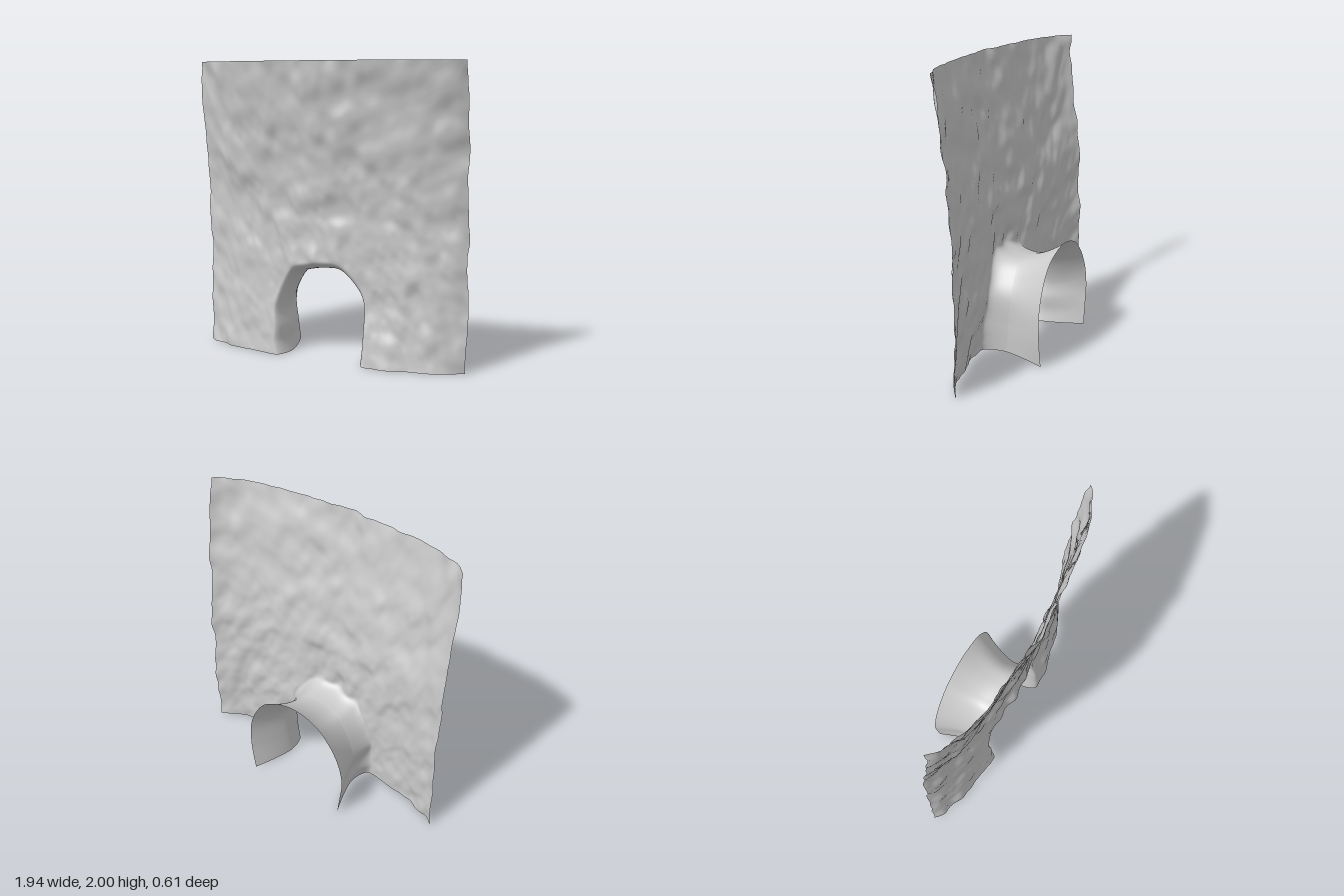
import * as THREE from 'three';

const SEG_U = 270; // along the arch, divisible by 3 so the wall corners stay sharp
const { lerp } = THREE.MathUtils;

// Seeded value noise
function hash(x, y) {
  let h = Math.imul(x, 374761393) + Math.imul(y, 668265263) + 1013;
  h = Math.imul(h ^ (h >>> 13), 1274126177);
  return ((h ^ (h >>> 16)) >>> 0) / 4294967295 * 2 - 1;
}
function noise(x, y) {
  const ix = Math.floor(x), iy = Math.floor(y);
  const fade = (t) => t * t * t * (t * (t * 6 - 15) + 10);
  const u = fade(x - ix), v = fade(y - iy);
  return lerp(lerp(hash(ix, iy), hash(ix + 1, iy), u),
    lerp(hash(ix, iy + 1), hash(ix + 1, iy + 1), u), v);
}

// Slanted rocky bumps in several sizes
function rock(x, y) {
  const a = x + 0.35 * y, b = y - 0.3 * x;
  return 0.006 * noise(a * 5, b * 3.2) + 0.014 * noise(a * 11 + 7, b * 7 + 3)
    + 0.003 * noise(a * 22 + 31, b * 14 + 17);
}

// Smooth cliff face: leans forward at the top, sweeps back at both sides,
// with a soft ridge down the middle and a flare at the foot
function wallZ(x, y) {
  const lean = 0.14 * Math.max(0, y - 0.97) ** 1.2;
  const foot = 0.045 * Math.max(0, 1 - y / 0.5) ** 1.5 * (1 - x ** 4);
  const ridge = 0.03 * Math.exp(-((x / 0.16) ** 2));
  return 0.13 + lean + foot + ridge - 0.1 * x * x - (0.065 + 0.4 * lean) * x ** 8;
}

const curve = (pts) => new THREE.SplineCurve(pts.map((p) => new THREE.Vector2(...p)));

// Cave mouth at its narrowest, and the wider arch at the rear
const mouth = curve([[0.255, 0], [0.27, 0.2], [0.27, 0.4], [0.2, 0.53], [0.11, 0.61],
  [0, 0.62], [-0.12, 0.6], [-0.21, 0.565], [-0.29, 0.45], [-0.335, 0.3], [-0.315, 0.18],
  [-0.315, 0.08], [-0.295, 0]]);
const rear = curve([[0.35, 0], [0.38, 0.2], [0.375, 0.4], [0.31, 0.57], [0.2, 0.69],
  [0, 0.75], [-0.18, 0.71], [-0.3, 0.61], [-0.39, 0.46], [-0.425, 0.3], [-0.41, 0.15], [-0.39, 0]]);

// Outer edge of the cliff: right side, top, left side
function outer(s) {
  const X = 0.963;
  let x, y;
  if (s <= 1 / 3) { x = X; y = 6 * s; }
  else if (s <= 2 / 3) { x = X * (3 - 6 * s); y = 2; }
  else { x = -X; y = 6 * (1 - s); }
  if (y < 2) x += 0.007 * noise(y * 8, x * 9);
  return new THREE.Vector2(x, y);
}

// Grid surface from a point rule
function surface(name, segV, rule) {
  const pos = [], index = [];
  for (let j = 0; j <= segV; j++) {
    for (let i = 0; i <= SEG_U; i++) pos.push(...rule(i / SEG_U, j / segV));
  }
  const row = SEG_U + 1;
  for (let j = 0; j < segV; j++) {
    for (let i = 0; i < SEG_U; i++) {
      const a = j * row + i, b = a + row;
      index.push(a, b, a + 1, b, b + 1, a + 1);
    }
  }
  const geo = new THREE.BufferGeometry();
  geo.setAttribute('position', new THREE.Float32BufferAttribute(pos, 3));
  geo.setIndex(index);
  geo.computeVertexNormals();
  const mesh = new THREE.Mesh(geo, new THREE.MeshStandardMaterial({
    color: 0xcccccc, side: THREE.DoubleSide }));
  mesh.name = name;
  return mesh;
}

const LIP_RADIUS = 0.065, LIP_DEPTH = 0.165;
const seamZ = (p) => wallZ(p.x, p.y) - LIP_DEPTH;

export function createModel() {
  const group = new THREE.Group();
  group.name = 'cliffWithCave';

  // Cliff face spreading from the cave mouth, with a rounded lip
  group.add(surface('cliffFace', 80, (s, v) => {
    const a = mouth.getPointAt(s), b = outer(s);
    const t = v ** 1.6;
    const d = a.distanceTo(b) * t;
    const p = a.clone().lerp(b, t);
    const k = Math.max(0, 1 - d / LIP_RADIUS);
    const lip = LIP_DEPTH * (1 - Math.sqrt(1 - k * k));
    const rough = Math.min(1, d / 0.08);
    return [p.x, p.y, wallZ(p.x, p.y) - lip + rough * rock(p.x, p.y)];
  }));

  // Cave passage flaring toward the back, roof rising later than the sides
  group.add(surface('cavePassage', 20, (s, v) => {
    const a = mouth.getPointAt(s), b = rear.getPointAt(s);
    const w = 1 - v; // rear first, so the inside faces the opening
    return [lerp(a.x, b.x, w ** 1.3), lerp(a.y, b.y, w ** 1.7), lerp(seamZ(a), -0.3, w)];
  }));

  return group;
}
